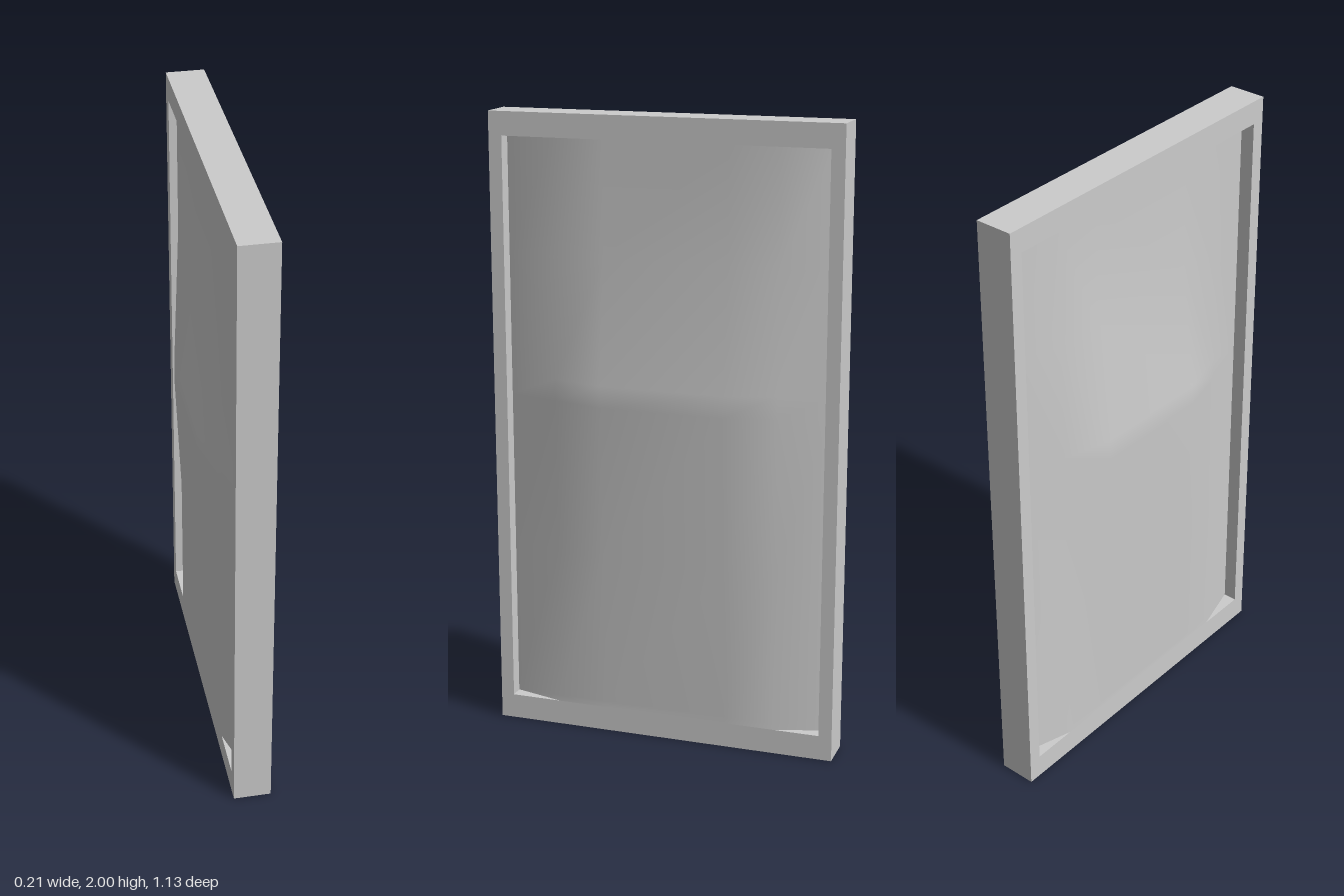
import * as THREE from 'three';

const HALF_T = 0.06; // half thickness of the frame

// Rectangle outline centred on x = 0, between two heights
function rect(path, halfWidth, bottom, top) {
  path.moveTo(-halfWidth, bottom);
  path.lineTo(halfWidth, bottom);
  path.lineTo(halfWidth, top);
  path.lineTo(-halfWidth, top);
  path.closePath();
  return path;
}

// Bulging panel face: flush at top and bottom, sunk along both long sides
function panelGeometry(side) {
  const columns = [[-0.52, -1], [-0.37, 0], [-0.21, 1], [0.19, 1], [0.355, 0], [0.52, -1]]; // z, level
  const rows = [[0.08, 0], [0.1, 0], [0.6, 0.5], [1.1, 1], [1.17, 1], [1.56, 0], [1.925, 0]]; // y, bulge
  const positions = [];
  const index = [];
  columns.forEach(([z, level], i) => {
    rows.forEach(([y, bulge], j) => {
      const x = HALF_T + 0.045 * (level > 0 ? level * bulge : level);
      positions.push(side * x, y, z);
      if (i === columns.length - 1 || j === rows.length - 1) return;
      const a = i * rows.length + j;
      const b = a + 1;
      const c = a + rows.length;
      const d = c + 1;
      if (side > 0) index.push(a, b, c, b, d, c);
      else index.push(a, c, b, b, c, d);
    });
  });
  const geometry = new THREE.BufferGeometry();
  geometry.setAttribute('position', new THREE.Float32BufferAttribute(positions, 3));
  geometry.setIndex(index);
  geometry.computeVertexNormals();
  return geometry;
}

export function createModel() {
  const group = new THREE.Group();
  group.name = 'framedPanel';
  const material = new THREE.MeshStandardMaterial({ color: 0xcccccc });

  // Rectangular frame with an opening through its thickness
  const outline = rect(new THREE.Shape(), 0.563, 0, 2);
  outline.holes.push(rect(new THREE.Path(), 0.52, 0.08, 1.925));
  const frameGeometry = new THREE.ExtrudeGeometry(outline, { depth: 2 * HALF_T, bevelEnabled: false });
  frameGeometry.translate(0, 0, -HALF_T).rotateY(Math.PI / 2);
  const frame = new THREE.Mesh(frameGeometry, material);
  frame.name = 'frame';
  group.add(frame);

  // Panel faces on both sides
  for (const side of [1, -1]) {
    const panel = new THREE.Mesh(panelGeometry(side), material);
    panel.name = side > 0 ? 'leftPanel' : 'rightPanel';
    group.add(panel);
  }
  return group;
}
